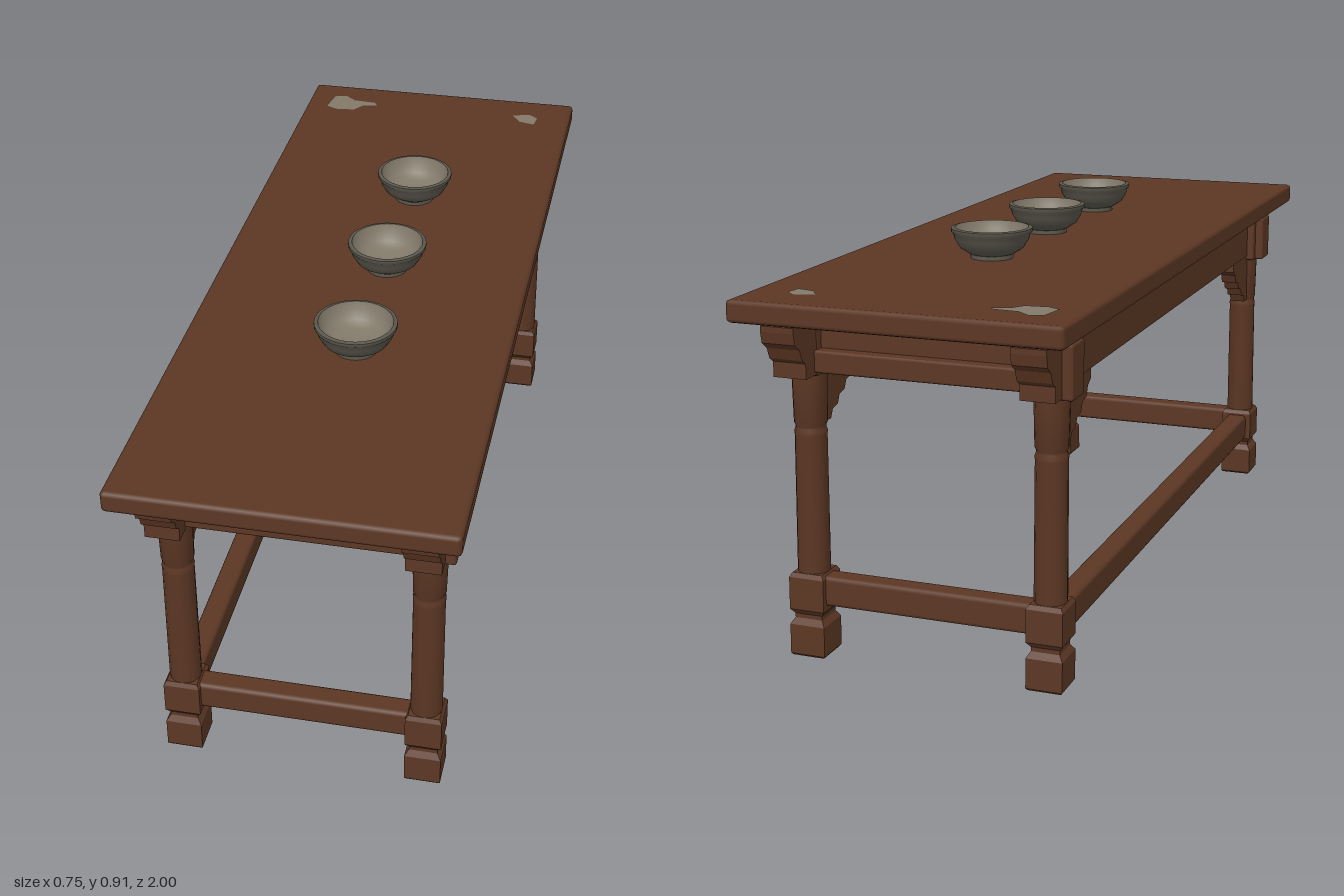
import * as THREE from 'three';
import { toCreasedNormals } from 'three/addons/utils/BufferGeometryUtils.js';
import { RoundedBoxGeometry } from 'three/addons/geometries/RoundedBoxGeometry.js';

const material = (name, color) => {
  const m = new THREE.MeshStandardMaterial({ color });
  m.name = name;
  return m;
};

export function createModel() {
  const wood = material('brown wood', 0x5c3724);
  const clay = material('dark grey clay', 0x5a574c);
  const glaze = material('pale inner glaze', 0x82796a);
  const model = new THREE.Group();
  model.name = 'table';

  const add = (parent, name, geometry, mat = wood) => {
    const mesh = new THREE.Mesh(geometry, mat);
    mesh.name = name;
    parent.add(mesh);
    return mesh;
  };

  // Softened beam given by its limits on each axis
  const beam = (parent, name, [x0, x1], [y0, y1], [z0, z1], r = 0.006) => {
    const g = new RoundedBoxGeometry(x1 - x0, y1 - y0, z1 - z0, 1, r);
    return add(parent, name, g).position.set((x0 + x1) / 2, (y0 + y1) / 2, (z0 + z1) / 2);
  };

  const points = (list, scale = 1) => list.map(([r, y]) => new THREE.Vector2(r * scale, y));

  // Plate with a side profile in z and y, centred on x
  const sidePlate = (profile, width) => {
    const g = new THREE.ExtrudeGeometry(new THREE.Shape(points(profile)), { depth: width, bevelEnabled: false });
    return g.rotateY(-Math.PI / 2).translate(width / 2, 0, 0);
  };

  // Turned or squared leg section, leaning slightly inward toward the top
  const legSection = (profile, sides) => {
    const square = sides === 4;
    const g = new THREE.LatheGeometry(points(profile, square ? Math.SQRT2 : 1), sides, Math.PI / 4);
    const p = g.attributes.position;
    for (let i = 0; i < p.count; i++) p.setZ(i, p.getZ(i) + 0.825 - 0.023 * p.getY(i));
    return toCreasedNormals(g, square ? 0.3 : 0.7);
  };

  const foot = legSection([[0, 0], [0.038, 0], [0.042, 0.005], [0.042, 0.074], [0.033, 0.088],
    [0.033, 0.098], [0.042, 0.11], [0.042, 0.185], [0.036, 0.195], [0, 0.195]], 4);
  const shaft = legSection([[0.036, 0.19], [0.037, 0.2], [0.036, 0.51], [0.037, 0.517], [0.034, 0.525],
    [0.034, 0.531], [0.037, 0.537], [0.04, 0.66]], 16);
  const bracket = sidePlate([[0.79, 0.67], [0.79, 0.53], [0.755, 0.53], [0.745, 0.55], [0.72, 0.555],
    [0.71, 0.575], [0.685, 0.58], [0.675, 0.6], [0.65, 0.605], [0.64, 0.628], [0.62, 0.64], [0.62, 0.67]], 0.04);
  const corbel = sidePlate([[0.83, 0.655], [0.9, 0.655], [0.9, 0.69], [0.915, 0.7], [0.925, 0.725],
    [0.945, 0.74], [0.95, 0.765], [0.95, 0.778], [0.9, 0.79], [0.83, 0.79]], 0.078);

  // Table top
  beam(model, 'tableTop', [-0.375, 0.375], [0.79, 0.84], [-1, 1], 0.01);

  // Matching end frames
  for (const turn of [0, Math.PI]) {
    const end = new THREE.Group();
    end.name = turn ? 'backFrame' : 'frontFrame';
    end.rotation.y = turn;
    model.add(end);
    for (const s of [-1, 1]) {
      const leg = new THREE.Group();
      leg.name = 'leg';
      leg.position.x = s * 0.282;
      end.add(leg);
      add(leg, 'foot', foot);
      add(leg, 'shaft', shaft);
      add(leg, 'bracket', bracket);
      add(leg, 'corbel', corbel);
      beam(leg, 'legHead', [-0.041, 0.041], [0.65, 0.79], [0.765, 0.85]);
      const out = s > 0 ? [0.02, 0.063] : [-0.063, -0.02];
      beam(leg, 'railEnd', out, [0.65, 0.77], [0.785, 0.86]);
    }
    beam(end, 'lowerEndRail', [-0.26, 0.26], [0.66, 0.71], [0.79, 0.86]);
    beam(end, 'recessedEndPanel', [-0.26, 0.26], [0.7, 0.77], [0.79, 0.83]);
    beam(end, 'upperEndRail', [-0.33, 0.33], [0.758, 0.79], [0.79, 0.875], 0.009);
    beam(end, 'endStretcher', [-0.27, 0.27], [0.12, 0.19], [0.795, 0.85], 0.01);
  }

  // Long aprons with a raised upper band
  for (const s of [-1, 1]) {
    const apron = new THREE.Group();
    apron.name = 'longApron';
    apron.position.x = s * 0.282;
    model.add(apron);
    beam(apron, 'apronBoard', [-0.022, 0.022], [0.66, 0.785], [-0.78, 0.78]);
    beam(apron, 'apronBand', [-0.03, 0.03], [0.762, 0.79], [-0.765, 0.765]);
  }

  // Single long stretcher on the right side
  beam(model, 'longStretcher', [-0.31, -0.255], [0.11, 0.18], [-0.81, 0.81], 0.01);

  // Bowls: outer wall with rim, and pale inside
  const outer = new THREE.LatheGeometry(points([[0, 0], [0.05, 0], [0.05, 0.01], [0.055, 0.012], [0.075, 0.025],
    [0.087, 0.045], [0.09, 0.058], [0.095, 0.063], [0.095, 0.071], [0.086, 0.073]]), 32);
  const inner = new THREE.LatheGeometry(points([[0.086, 0.073], [0.082, 0.055], [0.07, 0.033],
    [0.05, 0.021], [0, 0.017]]), 32);
  for (const z of [-0.37, 0, 0.37]) {
    const bowl = new THREE.Group();
    bowl.name = 'bowl';
    bowl.position.set(0.028, 0.84, z);
    model.add(bowl);
    add(bowl, 'bowlWall', toCreasedNormals(outer, 0.9), clay);
    add(bowl, 'bowlInside', inner, glaze);
  }

  // Pale worn patches on the top
  const patch = (x, z, outline) => {
    const g = new THREE.ShapeGeometry(new THREE.Shape(points(outline))).rotateX(-Math.PI / 2);
    add(model, 'wornPatch', g, glaze).position.set(x, 0.8415, z);
  };
  patch(-0.265, -0.885, [[-0.05, -0.03], [-0.02, -0.045], [0.03, -0.04], [0.05, -0.01],
    [0.09, 0], [0.08, 0.015], [0.02, 0.02], [-0.01, 0.045], [-0.04, 0.035]]);
  patch(0.25, -0.88, [[-0.035, 0.015], [-0.01, -0.02], [0.03, -0.03], [0.035, 0.01], [0.01, 0.03]]);

  return model;
}
